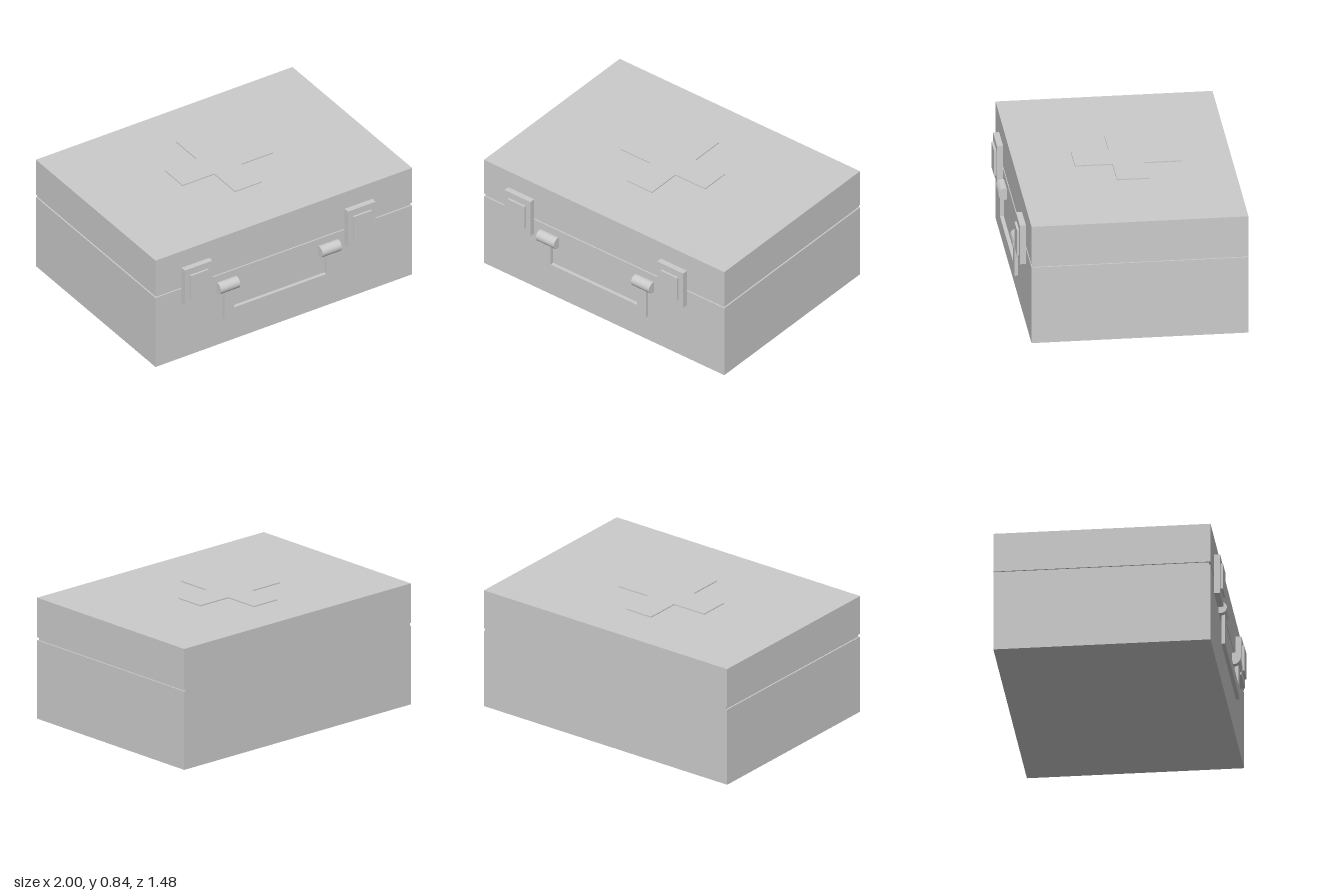
import * as THREE from 'three';

export function createModel() {
  const model = new THREE.Group();
  const material = new THREE.MeshStandardMaterial({ color: 0xcccccc });

  function add(name, geometry, parent = model) {
    const mesh = new THREE.Mesh(geometry, material);
    mesh.name = name;
    parent.add(mesh);
    return mesh;
  }

  // Box given by its limits on each axis
  function box(name, [x0, x1], [y0, y1], [z0, z1], parent) {
    const mesh = add(name, new THREE.BoxGeometry(x1 - x0, y1 - y0, z1 - z0), parent);
    mesh.position.set((x0 + x1) / 2, (y0 + y1) / 2, (z0 + z1) / 2);
    return mesh;
  }

  function extrude(points, depth) {
    const shape = new THREE.Shape(points.map(([x, y]) => new THREE.Vector2(x, y)));
    return new THREE.ExtrudeGeometry(shape, { depth, bevelEnabled: false });
  }

  // Case: base and lid with a recessed seam on the front and sides
  const back = -0.74, front = 0.685;
  box('base', [-1, 1], [0, 0.54], [back, front]);
  box('seam', [-0.99, 0.99], [0.54, 0.56], [back, front - 0.01]);
  box('lid', [-1, 1], [0.56, 0.832], [back, front]);

  // Raised cross on the lid
  const a = 0.105, b = 0.352;
  const cross = add('cross', extrude([
    [-a, -b], [a, -b], [a, -a], [b, -a], [b, a], [a, a],
    [a, b], [-a, b], [-a, a], [-b, a], [-b, -a], [-a, -a],
  ], 0.01));
  cross.rotation.x = -Math.PI / 2;
  cross.position.set(-0.018, 0.83, -0.06);

  // Latches: plate with a smaller raised panel
  for (const [name, x] of [['rightLatch', -0.69], ['leftLatch', 0.582]]) {
    const latch = new THREE.Group();
    latch.name = name;
    box('latchPlate', [x - 0.108, x + 0.108], [0.427, 0.703], [front, 0.725], latch);
    box('latchPanel', [x - 0.07, x + 0.07], [0.475, 0.655], [0.725, 0.74], latch);
    model.add(latch);
  }

  // Carrying handle: flat U-shaped bar
  const handle = add('handle', extrude([
    [-0.433, 0.45], [-0.433, 0.205], [0.433, 0.205], [0.433, 0.45],
    [0.36, 0.45], [0.36, 0.276], [-0.36, 0.276], [-0.36, 0.45],
  ], 0.025));
  handle.position.set(-0.054, 0, 0.7);

  // Round mounts that hold the handle ends
  for (const [name, x] of [['rightHandleMount', -0.45], ['leftHandleMount', 0.342]]) {
    const mount = add(name, new THREE.CylinderGeometry(0.041, 0.041, 0.15, 32));
    mount.rotation.z = Math.PI / 2;
    mount.position.set(x, 0.45, 0.699);
  }

  return model;
}
